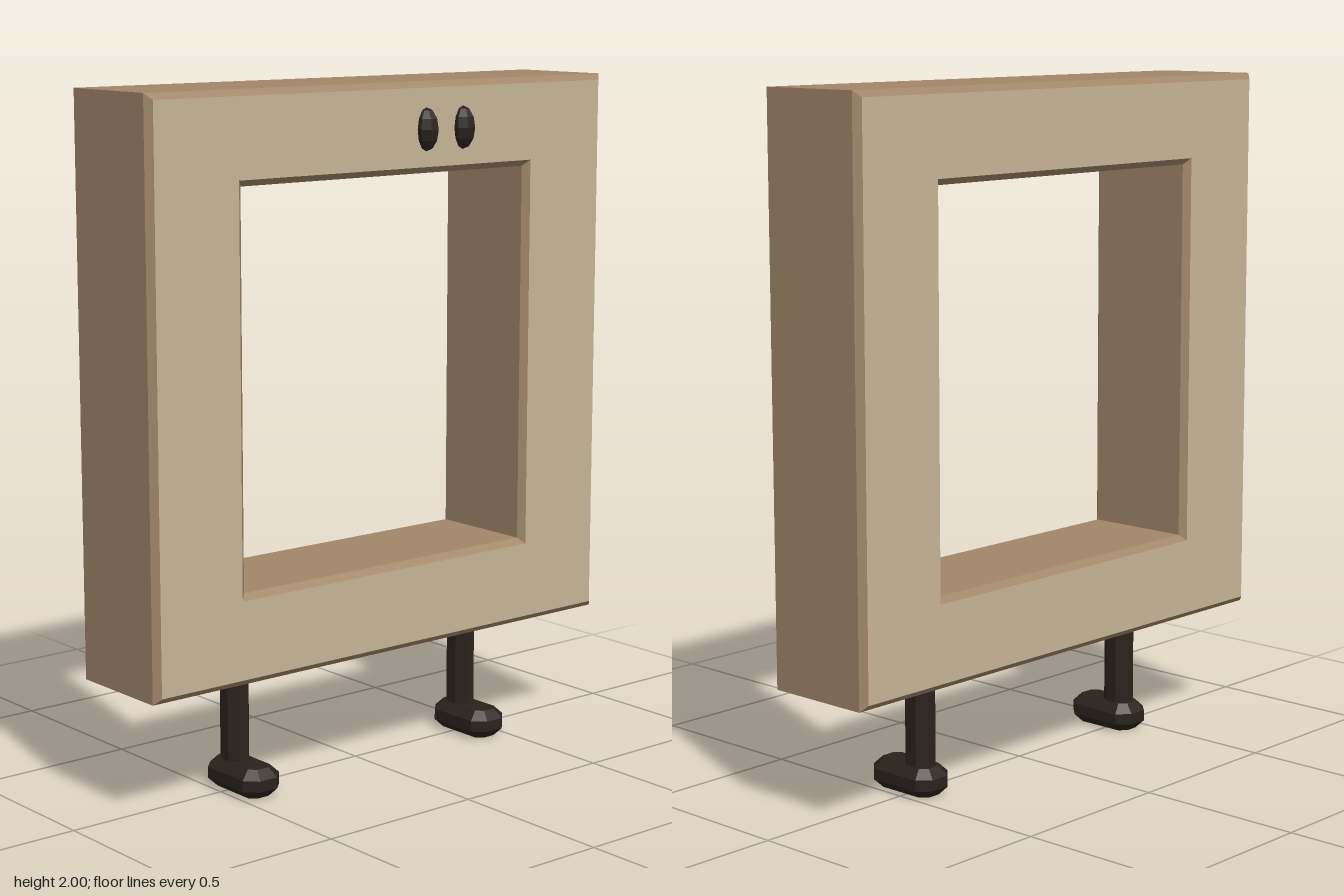
import * as THREE from 'three';

const material = (color) => new THREE.MeshStandardMaterial({ color, flatShading: true });

// Closed outline from corner pairs
const outline = (Type, pts) => new Type(pts.map(([x, y]) => new THREE.Vector2(x, y)));
const rect = (x, y0, y1) => [[-x, y0], [x, y0], [x, y1], [-x, y1]];

// Extrusion whose chamfer stays inside the outline
function chamfered(shape, depth, chamfer) {
  return new THREE.ExtrudeGeometry(shape, {
    depth: depth - 2 * chamfer,
    bevelEnabled: true,
    bevelThickness: chamfer,
    bevelSize: chamfer,
    bevelOffset: -chamfer,
    bevelSegments: 1,
  }).translate(0, 0, chamfer);
}

export function createModel() {
  const model = new THREE.Group();
  const faceMat = material(0xc6b597);
  const sideMat = material(0xa1876a);
  const darkMat = material(0x2a221c);

  const add = (name, geometry, mat, x, y, z, parent = model) => {
    const mesh = new THREE.Mesh(geometry, mat);
    mesh.name = name;
    mesh.position.set(x, y, z);
    parent.add(mesh);
    return mesh;
  };

  // Square frame with a chamfered opening
  const frameShape = outline(THREE.Shape, rect(0.83, 0.355, 2));
  frameShape.holes.push(outline(THREE.Path, rect(0.518, 0.617, 1.74)));
  add('frame', chamfered(frameShape, 0.36, 0.018), [faceMat, sideMat], 0, 0, -0.2);

  // Two oval knobs, half sunk into the front face
  const knobGeo = new THREE.SphereGeometry(1, 8, 6).rotateY(Math.PI / 8).scale(0.035, 0.062, 0.041);
  for (const x of [0.128, 0.267]) add('knob', knobGeo, darkMat, x, 1.865, 0.16);

  // Legs: eight-sided post on a foot with cut corners
  const postGeo = new THREE.CylinderGeometry(1, 1, 0.32, 8).rotateY(Math.PI / 8);
  postGeo.scale(0.0405, 1, 0.0485);
  const w = 0.065, l = 0.118, c = 0.035;
  const footShape = outline(THREE.Shape, [
    [-w + c, -l], [w - c, -l], [w, -l + c], [w, l - c],
    [w - c, l], [-w + c, l], [-w, l - c], [-w, -l + c],
  ]);
  const footGeo = chamfered(footShape, 0.085, 0.026).rotateX(-Math.PI / 2);
  for (const side of [-1, 1]) {
    const leg = new THREE.Group();
    leg.name = side > 0 ? 'leftLeg' : 'rightLeg';
    leg.position.x = side * 0.435;
    add('post', postGeo, darkMat, 0, 0.22, -0.018, leg);
    add('foot', footGeo, darkMat, 0, 0, 0.022, leg);
    model.add(leg);
  }

  return model;
}
